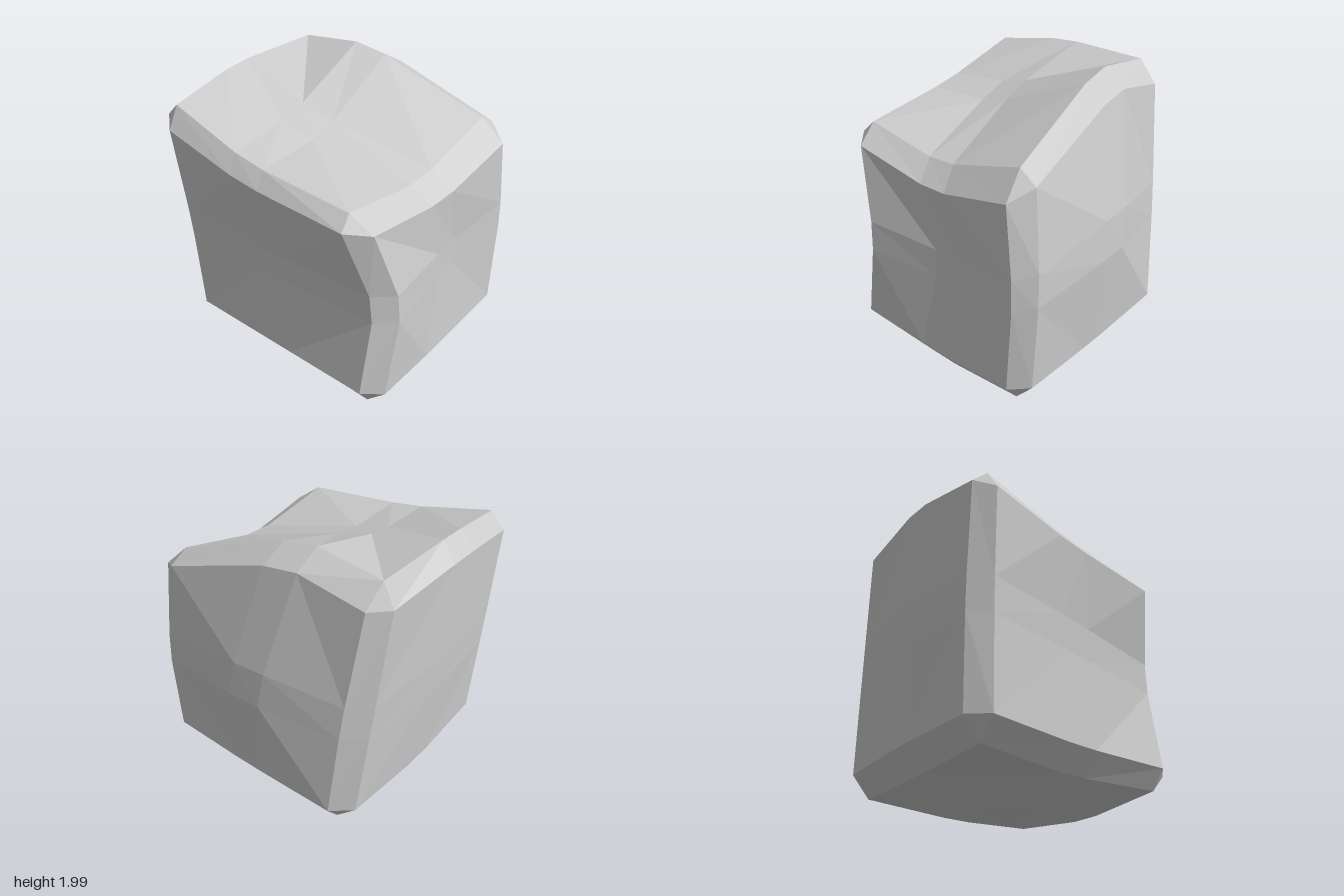
import * as THREE from 'three';

// Control cage of a weathered block: layers bottom to top,
// rows back to front, three points from -x to +x in each row.
const bottomLayer = [
  [[-0.85, 0.11, -0.71], [-0.01, 0.09, -0.80], [0.70, 0.12, -0.895]],
  [[-0.83, 0.11, 0.05], [0.04, -0.028, -0.1], [0.80, 0.055, -0.1]],
  [[-0.74, 0.135, 0.84], [0.06, 0.105, 0.70], [0.912, 0.135, 0.605]],
];
const middleLayer = [
  [[-0.88, 0.98, -0.60], [-0.15, 1.06, -0.885], [0.70, 0.97, -0.925]],
  [[-0.90, 1.0, 0.15], [0, 1, 0], [0.70, 0.88, -0.26]],
  [[-0.76, 0.98, 0.87], [0.05, 0.95, 0.70], [0.925, 0.91, 0.455]],
];
const topLayer = [
  [[-0.925, 1.915, -0.49], [-0.34, 2.06, -0.60], [0.68, 1.66, -0.86]],
  [[-0.89, 1.975, 0.29], [-0.14, 1.695, 0.24], [0.74, 1.465, -0.12]],
  [[-0.77, 1.85, 0.925], [-0.05, 1.655, 0.83], [0.81, 1.60, 0.68]],
];
const cage = [bottomLayer, middleLayer, topLayer];

const INSET = 0.85; // where the bevels begin
const MID = 0.14; // half width of the worn band across each face
const steps = [-INSET, -MID, MID, INSET];

// Piecewise linear point of the cage for parameters in -1..1
function sample(p) {
  const out = new THREE.Vector3();
  const weight = (t, i) => Math.max(0, 1 - Math.abs(t - (i - 1)));
  for (let y = 0; y < 3; y++)
    for (let z = 0; z < 3; z++)
      for (let x = 0; x < 3; x++) {
        const w = weight(p[0], x) * weight(p[1], y) * weight(p[2], z);
        out.addScaledVector(new THREE.Vector3(...cage[y][z][x]), w);
      }
  return out;
}

function buildRock() {
  const points = [];
  const tri = (a, b, c, flip) => points.push(...(flip ? [a, c, b] : [a, b, c]));
  const quad = (a, b, c, d, flip) => {
    tri(a, b, c, flip);
    tri(a, c, d, flip);
  };
  const at = (a, va, b, vb, c, vc) => {
    const p = [0, 0, 0];
    p[a] = va;
    p[b] = vb;
    p[c] = vc;
    return sample(p);
  };

  for (let a = 0; a < 3; a++) {
    const b = (a + 1) % 3, c = (a + 2) % 3;
    for (const s of [-1, 1]) {
      // Broad faces
      const face = (i, j) => at(a, s, b, steps[i], c, steps[j]);
      for (let i = 0; i < 3; i++)
        for (let j = 0; j < 3; j++)
          quad(face(i, j), face(i + 1, j), face(i + 1, j + 1), face(i, j + 1), s < 0);

      // Bevel strips along the edges
      for (const r of [-1, 1]) {
        const first = k => at(a, s, b, r * INSET, c, steps[k]);
        const second = k => at(a, s * INSET, b, r, c, steps[k]);
        for (let k = 0; k < 3; k++)
          quad(first(k), second(k), second(k + 1), first(k + 1), s * r < 0);
      }
    }
  }

  // Cut corners
  for (const x of [-1, 1])
    for (const y of [-1, 1])
      for (const z of [-1, 1])
        tri(
          sample([x, y * INSET, z * INSET]),
          sample([x * INSET, y, z * INSET]),
          sample([x * INSET, y * INSET, z]),
          x * y * z < 0
        );

  const geometry = new THREE.BufferGeometry().setFromPoints(points);
  geometry.computeVertexNormals();
  return geometry;
}

export function createModel() {
  const group = new THREE.Group();
  group.name = 'boulder';
  const material = new THREE.MeshStandardMaterial({ color: 0xcccccc, flatShading: true });
  const rock = new THREE.Mesh(buildRock(), material);
  rock.name = 'rock';
  group.add(rock);
  return group;
}
